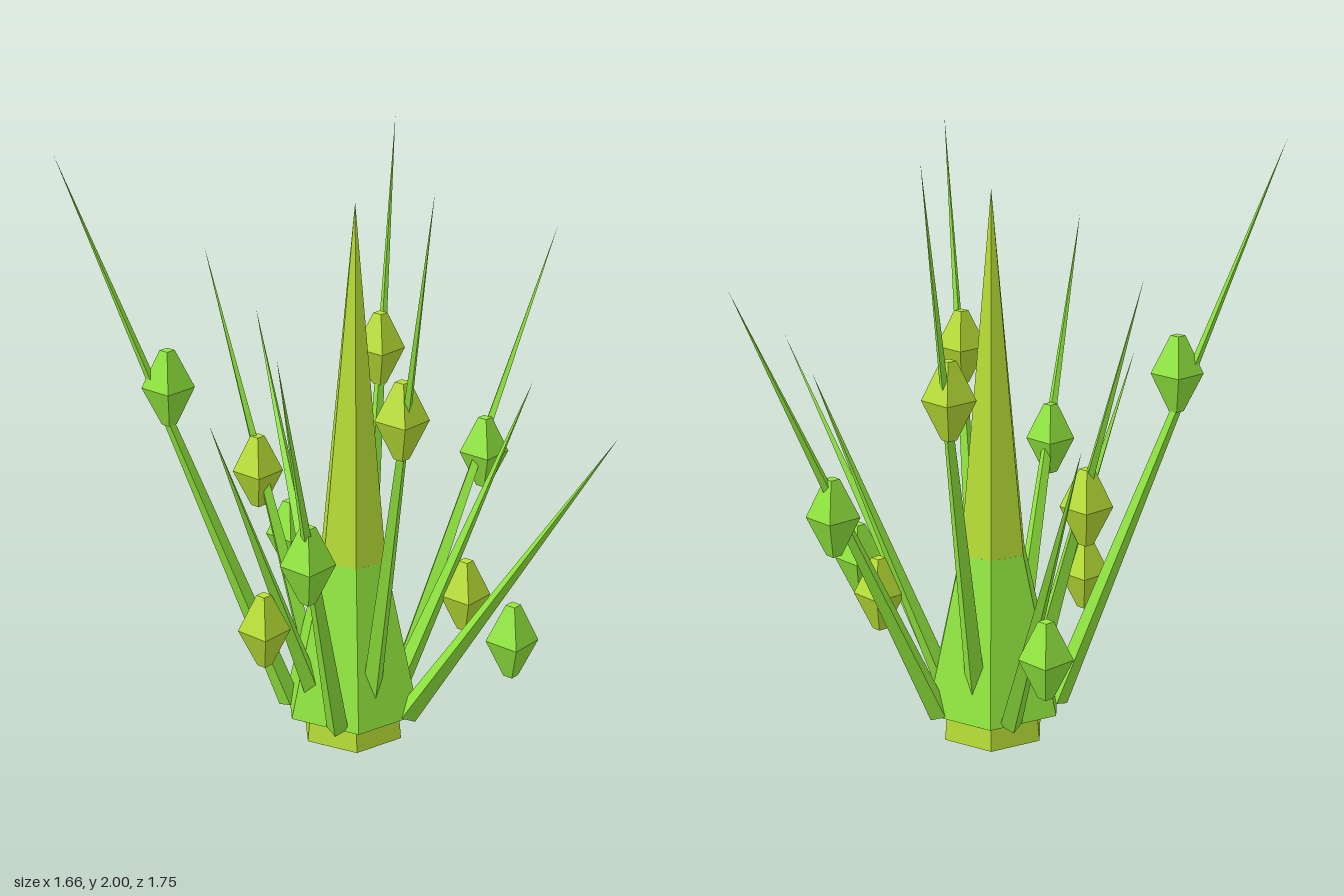
import * as THREE from 'three';

const green = new THREE.MeshStandardMaterial({ color: 0x91e73e, flatShading: true });
green.name = 'leafGreen';
const lime = new THREE.MeshStandardMaterial({ color: 0xb9e036, flatShading: true });
lime.name = 'limeYellow';

function part(name, geometry, material, x = 0, y = 0, z = 0) {
  const mesh = new THREE.Mesh(geometry, material);
  mesh.name = name;
  mesh.position.set(x, y, z);
  return mesh;
}

// Four-sided bud: two stacked frusta with small flat ends
function makeBud(material) {
  const bud = new THREE.Group();
  bud.name = 'bud';
  bud.add(part('budTop', new THREE.CylinderGeometry(0.024, 0.085, 0.125, 4), material, 0, 0.0625, 0));
  bud.add(part('budBottom', new THREE.CylinderGeometry(0.085, 0.024, 0.125, 4), material, 0, -0.0625, 0));
  return bud;
}

// Thin four-sided spike in the local xy plane, from base radius to tip
function makeSpike(baseR, baseY, tipR, tipY) {
  const dx = tipR - baseR, dy = tipY - baseY;
  const length = Math.hypot(dx, dy);
  const geometry = new THREE.ConeGeometry(0.037, length, 4).translate(0, length / 2, 0);
  const spike = part('spike', geometry, green, baseR, baseY, 0);
  spike.rotation.z = -Math.atan2(dx, dy);
  return spike;
}

export function createModel() {
  const model = new THREE.Group();
  model.name = 'spikyPlant';

  const plant = new THREE.Group();
  plant.name = 'plant';
  plant.position.x = 0.087;
  model.add(plant);

  // Central stalk and its collar
  plant.add(part('stalk', new THREE.ConeGeometry(0.183, 1.84, 6), lime, 0, 0.92, 0));
  plant.add(part('collar', new THREE.CylinderGeometry(0.119, 0.247, 0.54, 6), green, 0, 0.375, 0));

  // Ten spikes with buds, alternating inner and outer, in three heights
  for (let i = 1; i <= 10; i++) {
    const angle = i * Math.PI / 5;
    const outer = i % 2 === 1;
    const level = [1, 0, 2][i % 3];

    const arm = new THREE.Group();
    arm.name = 'spikeArm';
    arm.rotation.y = -angle;
    arm.add(makeSpike(outer ? 0.215 : 0.14, 0.11, outer ? 0.92 : 0.58, 1.24 + 0.38 * level));
    plant.add(arm);

    const r = outer ? 0.595 : 0.378;
    const bud = makeBud(outer ? green : lime);
    bud.position.set(r * Math.cos(angle), 0.487 + 0.38 * level, r * Math.sin(angle));
    plant.add(bud);
  }
  return model;
}
